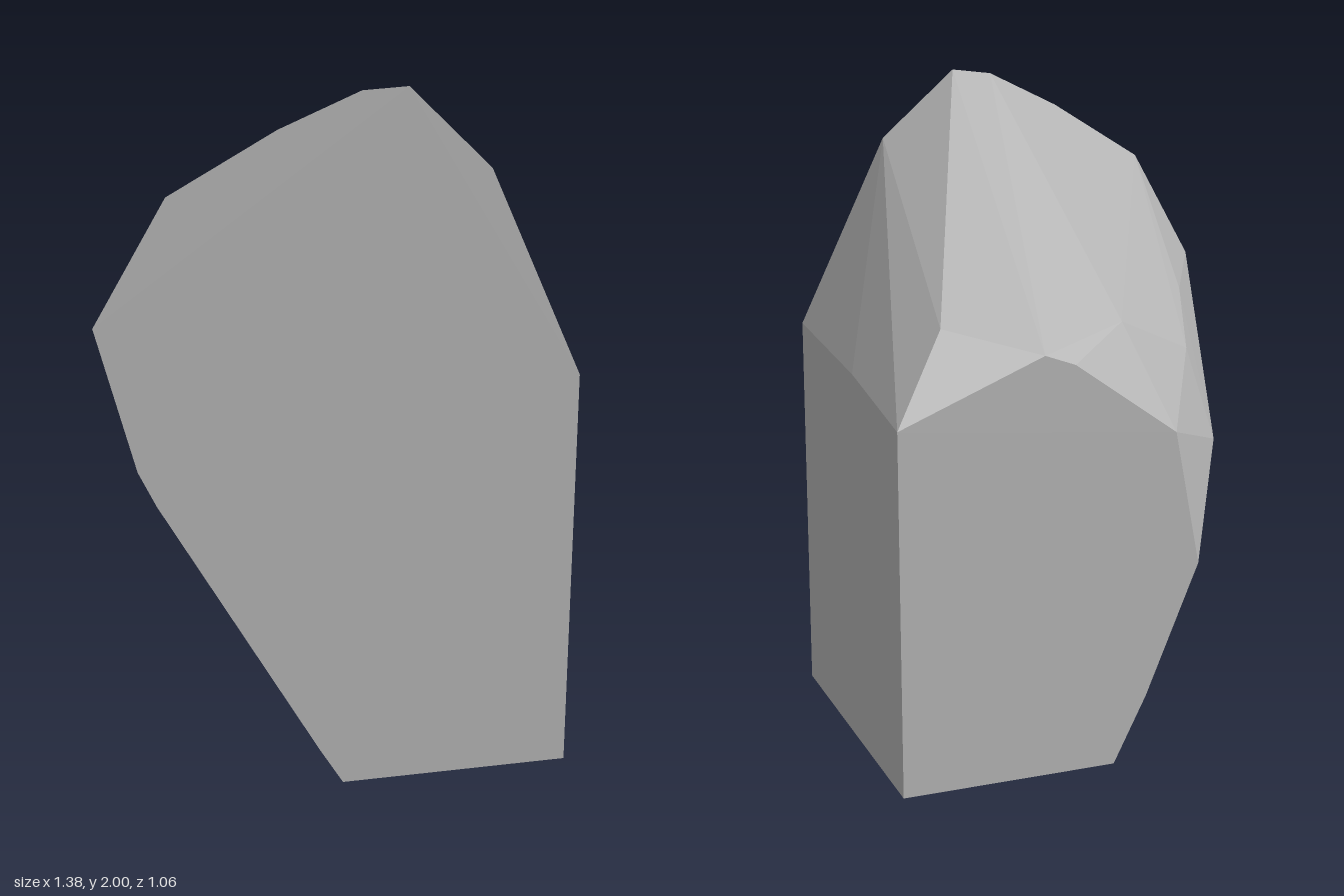
import * as THREE from 'three';
import { ConvexGeometry } from 'three/addons/geometries/ConvexGeometry.js';

// Faceted boulder: two flat end outlines bridged by a few ridge points.
const frontOutline = [
  [0, 0], [0.69, 0], [0.69, 1.19], [0.41, 1.78], [0.17, 2], [0.04, 1.99],
  [-0.19, 1.89], [-0.49, 1.72], [-0.69, 1.38], [-0.58, 0.98], [-0.53, 0.88], [-0.07, 0.11],
];
const backOutline = [
  [0.06, 0], [0.69, 0], [0.69, 1.02], [0.27, 1.2], [0.18, 1.17],
  [-0.13, 0.96], [-0.205, 0.57], [-0.04, 0.19],
];
const ridgePoints = [
  [0.525, 1.27, -0.4], [0.69, 1.11, -0.08], // straight side
  [-0.35, 0.89, -0.34], [-0.29, 1.16, -0.27], [-0.4, 1.31, 0], [-0.04, 1.26, -0.35], // rounded side
];

export function createModel() {
  const group = new THREE.Group();
  group.name = 'boulder';

  const stone = new THREE.MeshStandardMaterial({ color: 0xb2b2b2 });
  stone.name = 'stone grey';

  const points = [
    ...frontOutline.map(([x, y]) => new THREE.Vector3(x, y, 0.53)),
    ...backOutline.map(([x, y]) => new THREE.Vector3(x, y, -0.53)),
    ...ridgePoints.map((p) => new THREE.Vector3(...p)),
  ];

  // The hull has one normal per facet, so the rock stays flat shaded.
  const rock = new THREE.Mesh(new ConvexGeometry(points), stone);
  rock.name = 'rock';
  group.add(rock);
  return group;
}
